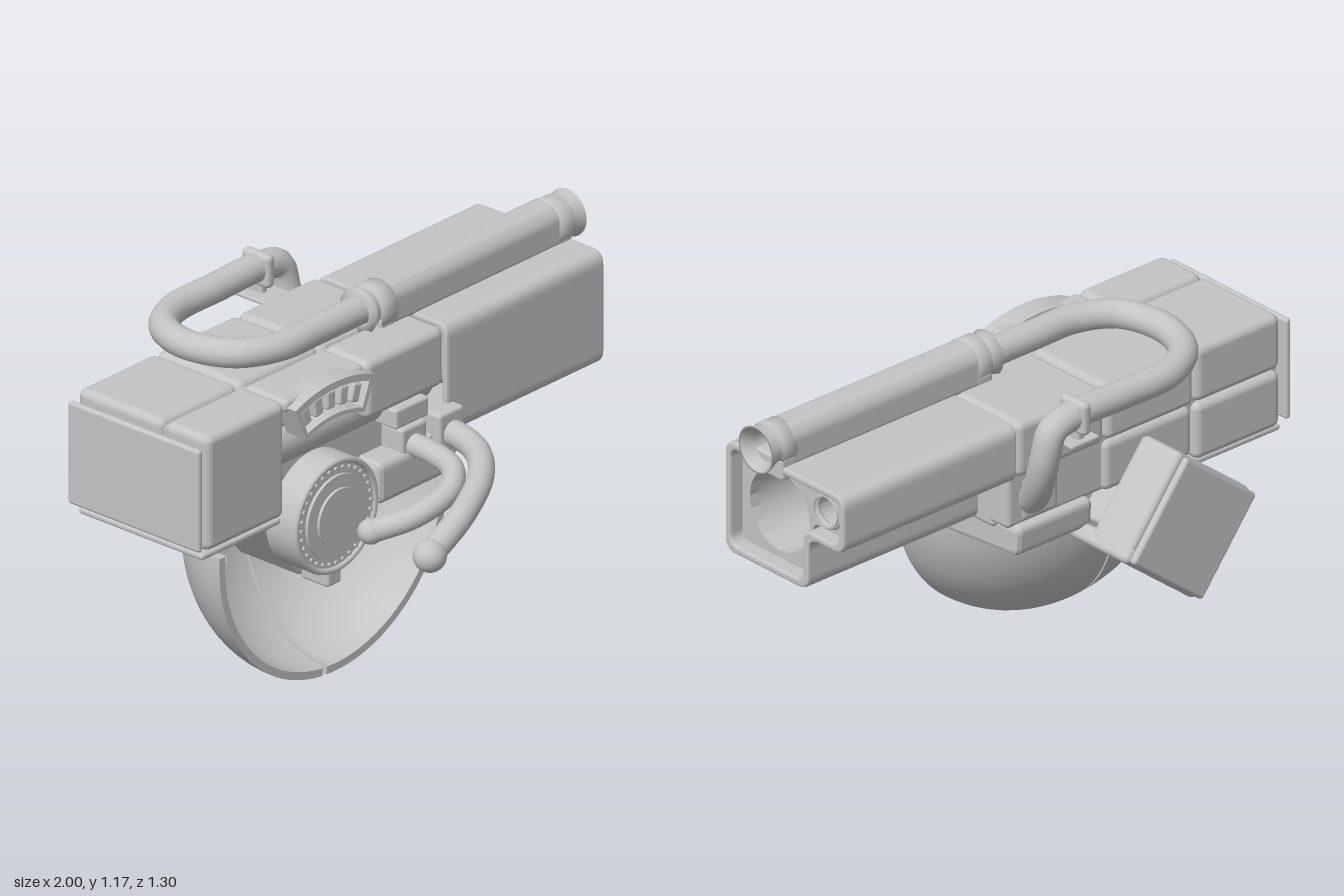
import * as THREE from 'three';
import { RoundedBoxGeometry } from 'three/addons/geometries/RoundedBoxGeometry.js';

const grey = new THREE.MeshStandardMaterial({ color: 0xc4c4c4, side: THREE.DoubleSide });
grey.name = 'plain grey';
const V = (x, y, z) => new THREE.Vector3(x, y, z);
const HUB = V(-0.355, 0.56, 0.18);

export function createModel() {
  const model = new THREE.Group();
  const add = (name, geo, x = 0, y = 0, z = 0, parent = model) => {
    const m = new THREE.Mesh(geo, grey);
    m.name = name;
    m.position.set(x, y, z);
    parent.add(m);
    return m;
  };
  // Rounded box given by its extents on each axis
  const block = (name, x0, x1, y0, y1, z0, z1, r = 0.028, parent = model) =>
    add(name, new RoundedBoxGeometry(x1 - x0, y1 - y0, z1 - z0, 3, r),
      (x0 + x1) / 2, (y0 + y1) / 2, (z0 + z1) / 2, parent);
  // Turned part along x, profile as [radius, x]
  const turnedX = (name, pts, y, z) =>
    add(name, new THREE.LatheGeometry(pts.map(p => new THREE.Vector2(...p)), 40).rotateZ(-Math.PI / 2), 0, y, z);
  const discZ = (name, r, x, y, z0, z1, seg = 48) =>
    add(name, new THREE.CylinderGeometry(r, r, z1 - z0, seg).rotateX(Math.PI / 2), x, y, (z0 + z1) / 2);
  const tube = (name, pts, r) =>
    add(name, new THREE.TubeGeometry(new THREE.CatmullRomCurve3(pts.map(p => V(...p))), 90, r, 18));
  // Cross-section in (-z, y), run along x
  const runX = (name, shape, x0, x1, bevel = 0) =>
    add(name, new THREE.ExtrudeGeometry(shape, {
      depth: x1 - x0 - 2 * bevel, bevelEnabled: bevel > 0, bevelSize: bevel, bevelThickness: bevel,
      bevelOffset: -bevel, bevelSegments: 2, curveSegments: 10,
    }).rotateY(Math.PI / 2), x0 + bevel);

  // Polygon with rounded corners
  const roundPoly = (pts, r, S = THREE.Shape) => {
    const s = new S(), n = pts.length;
    pts.forEach((p, i) => {
      const c = new THREE.Vector2(...p);
      const toward = q => c.clone().add(new THREE.Vector2(...q).sub(c).setLength(r));
      const a = toward(pts[(i + n - 1) % n]), b = toward(pts[(i + 1) % n]);
      if (i) s.lineTo(a.x, a.y); else s.moveTo(a.x, a.y);
      s.quadraticCurveTo(c.x, c.y, b.x, b.y);
    });
    s.closePath();
    return s;
  };
  const roundHole = (shape, x, y, r) => shape.holes.push(new THREE.Path().absarc(x, y, r, 0, Math.PI * 2, true));

  // Hollow stepped muzzle casing
  const casing = roundPoly([[-0.17, 0.637], [0.23, 0.637], [0.23, 0.83], [0.4, 0.83], [0.4, 1.04], [-0.17, 1.04]], 0.05);
  casing.holes.push(roundPoly([[-0.145, 0.665], [0.205, 0.665], [0.205, 0.855], [0.375, 0.855], [0.375, 1.015], [-0.145, 1.015]], 0.04, THREE.Path));
  runX('muzzleCasing', casing, 0.195, 0.95, 0.008);
  // Perforated frame with the bores behind it
  const frame = roundPoly([[-0.14, 0.67], [0.2, 0.67], [0.2, 0.86], [0.37, 0.86], [0.37, 1.01], [-0.14, 1.01]], 0.03);
  roundHole(frame, 0.04, 0.84, 0.145);
  roundHole(frame, 0.28, 0.935, 0.055);
  runX('muzzleFrame', frame, 0.86, 0.9);
  turnedX('mainBore', [[0.145, 0.9], [0.145, 0.4], [0.105, 0.4], [0, 0.4]], 0.84, -0.04);
  turnedX('sideBore', [[0.055, 0.92], [0.055, 0.6], [0, 0.6]], 0.935, -0.28);
  add('sideBoreRing', new THREE.TorusGeometry(0.055, 0.01, 8, 32).rotateY(Math.PI / 2), 0.905, 0.935, -0.28);

  // Receiver: inner core and outer casing blocks
  block('receiverCore', -0.94, 0.21, 0.65, 1.02, -0.37, 0.02, 0.02);
  add('coreBarrel', new THREE.CylinderGeometry(0.085, 0.085, 0.78, 32).rotateZ(Math.PI / 2), -0.2, 0.83, 0.03);
  for (const [x0, x1] of [[-0.955, -0.585], [-0.58, -0.195], [-0.19, 0.19]]) {
    block('topBlock', x0, x1, 0.84, 1.04, -0.4, -0.03);
  }
  block('lowerRearBlock', -0.955, -0.585, 0.63, 0.835, -0.4, -0.03);
  block('lowerRearBlock', -0.58, -0.195, 0.65, 0.835, -0.39, -0.03);
  block('lowerRearBlock', -0.19, 0.03, 0.65, 0.835, -0.37, -0.03);
  block('frontStockBlock', -0.955, -0.58, 0.63, 1.04, -0.025, 0.17);
  block('frontMidBlock', -0.19, 0.185, 0.83, 1.04, -0.025, 0.17);
  block('frontTopRail', -0.575, -0.195, 0.91, 1.037, -0.025, 0.12);
  block('frontTopLip', -0.575, -0.195, 0.99, 1.038, -0.02, 0.165, 0.02);
  block('buttPlate', -1, -0.975, 0.645, 1.01, -0.4, 0.17, 0.012);
  block('buttSpacer', -0.98, -0.9, 0.68, 0.98, -0.35, 0.12, 0.01);
  block('stockSole', -0.97, -0.59, 0.605, 0.628, -0.38, 0.16, 0.01);
  block('lowerHousing', -0.56, 0.21, 0.63, 0.8, -0.3, 0.08, 0.02);

  // Curved control panel with keys
  const fan = new THREE.Shape();
  fan.absarc(0, 0, 0.49, Math.PI / 2 + 0.4, Math.PI / 2 - 0.4, true);
  fan.absarc(0, 0, 0.36, Math.PI / 2 - 0.4, Math.PI / 2 + 0.4, false);
  const inset = new THREE.Path();
  inset.absarc(0, 0, 0.465, Math.PI / 2 + 0.36, Math.PI / 2 - 0.36, true);
  inset.absarc(0, 0, 0.375, Math.PI / 2 - 0.36, Math.PI / 2 + 0.36, false);
  fan.holes.push(inset);
  add('controlPanelFrame', new THREE.ExtrudeGeometry(fan, { depth: 0.085, bevelEnabled: false, curveSegments: 20 }), -0.375, 0.56, 0.115);
  for (let i = -2; i <= 2; i++) {
    const a = i * 0.145;
    const key = add('controlKey', new RoundedBoxGeometry(0.04, 0.065, 0.06, 2, 0.008),
      -0.375 + Math.sin(a) * 0.42, 0.56 + Math.cos(a) * 0.42, 0.155);
    key.rotation.z = -a;
  }

  // Split bowl: two open shell panels with lipped, closed cut edges
  const arc = (r, d, n) => Array.from({ length: n + 1 }, (_, i) => {
    const t = 1.3 * i / n;
    return new THREE.Vector2(r * Math.cos(t), -d * Math.sin(t));
  });
  const outer = arc(0.555, 0.44, 20), inner = arc(0.528, 0.415, 20), lip = arc(0.52, 0.407, 20);
  const shellPanel = (name, startDeg, endDeg) => {
    const g = new THREE.Group();
    g.name = name;
    g.position.copy(HUB);
    g.rotation.x = Math.PI / 2;
    model.add(g);
    const s = startDeg * Math.PI / 180, w = (endDeg - startDeg) * Math.PI / 180, lipAngle = 0.045;
    add('shellOutside', new THREE.LatheGeometry(outer.slice().reverse(), 40, s, w), 0, 0, 0, g);
    add('shellInside', new THREE.LatheGeometry(inner, 40, s, w), 0, 0, 0, g);
    add('shellRim', new THREE.LatheGeometry([outer[0], inner[0]], 40, s, w), 0, 0, 0, g);
    for (const a of [s, s + w]) {
      add('shellEdge', new THREE.ShapeGeometry(new THREE.Shape([...outer, ...lip.slice().reverse()]))
        .rotateY(a - Math.PI / 2), 0, 0, 0, g);
      add('shellEdgeLip', new THREE.LatheGeometry(lip, 3, a === s ? a : a - lipAngle, lipAngle), 0, 0, 0, g);
    }
  };
  shellPanel('leftShellPanel', -94, -6.3);
  shellPanel('rightShellPanel', -4.3, 83.5);
  // Smooth cradle joining bowl and receiver
  runX('upperShellCradle', roundPoly([[-0.18, 0.512], [0.1, 0.525], [0.39, 0.55], [0.4, 0.66], [-0.18, 0.66]], 0.03), -0.14, 0.19, 0.02);

  // Tilted square core and rear pack
  const pack = new THREE.Group();
  pack.name = 'rearPack';
  pack.position.set(-0.355, 0.565, 0);
  pack.rotation.z = Math.PI / 4 - 0.12;
  model.add(pack);
  block('squareCore', -0.18, 0.18, -0.18, 0.18, -0.3, 0.07, 0.02, pack);
  block('packNeck', -0.13, 0.13, -0.13, 0.13, -0.45, -0.25, 0.02, pack);
  block('packBody', -0.2, 0.2, -0.2, 0.2, -0.615, -0.43, 0.022, pack);
  block('packLowerSide', -0.2, 0.2, -0.202, -0.14, -0.62, -0.25, 0.022, pack);
  block('packLowerSide', -0.202, -0.14, -0.2, 0.18, -0.62, -0.25, 0.022, pack);
  block('packBackPlate', -0.193, 0.193, -0.193, 0.193, -0.65, -0.622, 0.013, pack);
  block('packPlateSpacer', -0.15, 0.15, -0.15, 0.15, -0.63, -0.6, 0.01, pack);

  // Round hub with studs
  discZ('hubDisc', 0.2, HUB.x, HUB.y, 0.06, 0.182);
  discZ('hubStep', 0.145, HUB.x, HUB.y, 0.18, 0.193);
  discZ('hubCap', 0.1, HUB.x, HUB.y, 0.19, 0.203);
  add('hubRing', new THREE.TorusGeometry(0.19, 0.011, 8, 48), HUB.x, HUB.y, 0.182);
  for (let i = 0; i < 32; i++) {
    const a = i * Math.PI / 16;
    discZ('hubStud', 0.007, HUB.x + Math.cos(a) * 0.167, HUB.y + Math.sin(a) * 0.167, 0.18, 0.19, 8);
  }
  block('hubFoot', HUB.x - 0.035, HUB.x + 0.035, 0.31, 0.37, 0.06, 0.18, 0.012);

  // Two curved handles with ball ends
  tube('longHandle', [[0.17, 0.68, 0.14], [0.17, 0.68, 0.24], [0.12, 0.678, 0.37], [0, 0.665, 0.49], [-0.18, 0.62, 0.57], [-0.35, 0.55, 0.59]], 0.044);
  add('longHandleBall', new THREE.SphereGeometry(0.056, 24, 16), -0.355, 0.548, 0.592);
  tube('shortHandle', [[0.035, 0.67, 0.1], [0.035, 0.67, 0.24], [0.0, 0.66, 0.37], [-0.1, 0.635, 0.44], [-0.24, 0.595, 0.425], [-0.35, 0.55, 0.335]], 0.039);
  add('shortHandleBall', new THREE.SphereGeometry(0.043, 24, 16), -0.352, 0.55, 0.332);
  block('handleMount', 0.11, 0.23, 0.62, 0.76, 0.1, 0.215, 0.012);
  block('handleMountTop', -0.05, 0.11, 0.75, 0.82, 0.05, 0.17, 0.01);
  block('shortHandleMount', -0.02, 0.1, 0.61, 0.74, 0.05, 0.17, 0.012);
  const tab = add('mountTab', new THREE.CylinderGeometry(0.09, 0.09, 0.03, 6).rotateX(Math.PI / 2), 0.165, 0.63, 0.165);
  tab.rotation.z = 0.3;

  // Upper tube with housing, collars and flared end
  runX('upperTubeHousing', roundPoly([[-0.03, 1.03], [0.11, 1.03], [0.11, 1.135], [0.08, 1.17], [0, 1.17], [-0.03, 1.135]], 0.02), 0.1, 0.9);
  turnedX('rearCollar', [[0.05, -0.01], [0.08, -0.005], [0.062, 0.03], [0.062, 0.04], [0.08, 0.04], [0.08, 0.1], [0.05, 0.1]], 1.095, -0.035);
  turnedX('flaredMuzzle', [[0.05, 0.89], [0.08, 0.89], [0.08, 0.95], [0.066, 0.955], [0.083, 1], [0.075, 1], [0.055, 0.95], [0.055, 0.8], [0, 0.8]], 1.095, -0.035);
  for (const x of [0.07, 0.92]) block('collarFoot', x - 0.035, x + 0.035, 0.99, 1.07, -0.11, 0.03, 0.012);

  // Looping hose and its bracket
  tube('hose', [[0.02, 1.095, -0.045], [-0.2, 1.095, -0.045], [-0.37, 1.095, -0.05], [-0.5, 1.095, -0.12], [-0.55, 1.09, -0.28], [-0.5, 1.085, -0.43],
    [-0.37, 1.08, -0.51], [-0.15, 1.08, -0.52], [0.07, 1.08, -0.52], [0.15, 1.055, -0.52], [0.17, 0.97, -0.51], [0.16, 0.87, -0.475],
    [0.12, 0.76, -0.4], [0.07, 0.69, -0.3]], 0.05);
  block('hoseClamp', 0.03, 0.07, 1.02, 1.138, -0.58, -0.46, 0.018);
  block('hoseBracket', -0.01, 0.11, 0.985, 1.0, -0.57, -0.38, 0.006);
  block('hoseBracketPost', 0.035, 0.065, 0.99, 1.04, -0.55, -0.49, 0.008);
  block('hoseSocket', -0.02, 0.16, 0.65, 0.83, -0.375, -0.23, 0.03);
  return model;
}
